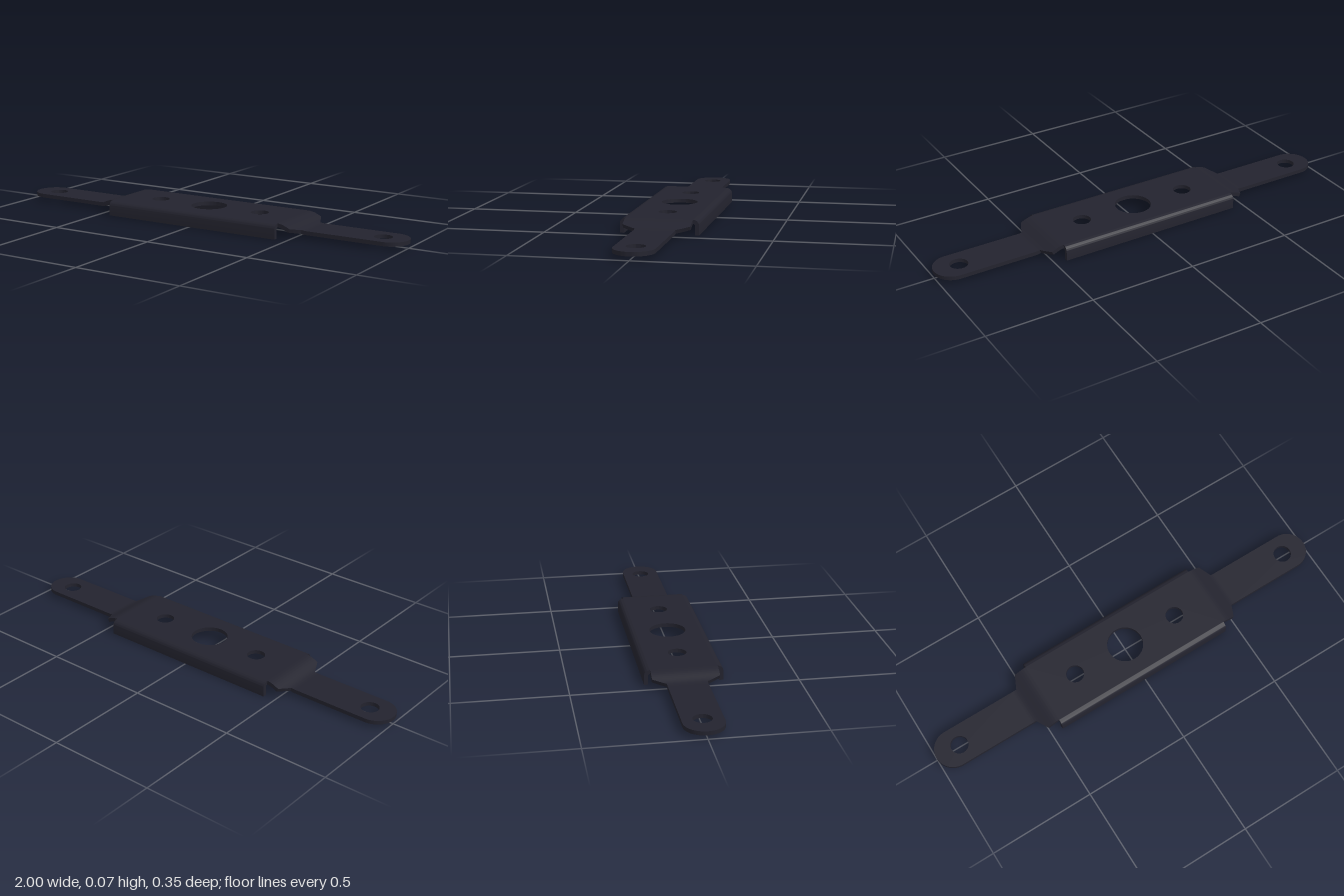
import * as THREE from 'three';
import { toCreasedNormals } from 'three/addons/utils/BufferGeometryUtils.js';

const T = 0.018;        // sheet thickness
const TOP = 0.068;      // top of the raised centre
const ARM_TOP = 0.035;  // top of the lowered arms
const PLATE_X = 0.445, PLATE_Z = 0.148, OUT_Z = 0.174;
const ARM_Z = 0.088, BEND_END = 0.55;

function addHole(shape, x, r) {
  const hole = new THREE.Path();
  hole.absarc(x, 0, r, 0, Math.PI * 2, true);
  shape.holes.push(hole);
}

// Flat sheet part lying in the xz plane
function sheet(shape, top) {
  const g = new THREE.ExtrudeGeometry(shape, { depth: T, bevelEnabled: false, curveSegments: 32 });
  g.rotateX(-Math.PI / 2).translate(0, top - T, 0);
  return toCreasedNormals(g, 0.6);
}

function plateGeometry() {
  const s = new THREE.Shape();
  s.moveTo(-PLATE_X, -PLATE_Z).lineTo(PLATE_X, -PLATE_Z);
  s.lineTo(PLATE_X, PLATE_Z).lineTo(-PLATE_X, PLATE_Z);
  s.closePath();
  addHole(s, 0, 0.083);
  addHole(s, -0.27, 0.041);
  addHole(s, 0.27, 0.041);
  return sheet(s, TOP);
}

function armGeometry() {
  const s = new THREE.Shape();
  s.moveTo(BEND_END, -ARM_Z).lineTo(1 - ARM_Z, -ARM_Z);
  s.absarc(1 - ARM_Z, 0, ARM_Z, -Math.PI / 2, Math.PI / 2, false);
  s.lineTo(BEND_END, ARM_Z).closePath();
  addHole(s, 0.882, 0.041);
  return sheet(s, ARM_TOP);
}

// Side lip: rounded fold profile swept along x
function flangeGeometry() {
  const r = OUT_Z - PLATE_Z;
  const s = new THREE.Shape();
  s.moveTo(OUT_Z, 0).lineTo(OUT_Z, TOP - r);
  s.absarc(PLATE_Z, TOP - r, r, 0, Math.PI / 2, false);
  s.lineTo(PLATE_Z, TOP - T);
  s.absarc(PLATE_Z, TOP - r, r - T, Math.PI / 2, 0, true);
  s.lineTo(OUT_Z - T, 0).closePath();
  const g = new THREE.ExtrudeGeometry(s, { depth: 2 * PLATE_X, bevelEnabled: false, curveSegments: 10 });
  g.translate(0, 0, -PLATE_X).rotateY(-Math.PI / 2);
  return toCreasedNormals(g, 0.6);
}

// S-shaped step, tapering from the shoulder width to the arm width
function bendGeometry() {
  const pos = [], index = [], n = 21;
  for (let i = 0; i <= n; i++) {
    const x = PLATE_X + (BEND_END - PLATE_X) * i / n;
    const t = i / n, drop = TOP - ARM_TOP;
    const y = TOP - T / 2 - drop * t * t * (3 - 2 * t);
    const slope = -drop * 6 * t * (1 - t) / (BEND_END - PLATE_X);
    const len = Math.hypot(1, slope);
    const nx = -slope / len * T / 2, ny = T / 2 / len;
    const k = THREE.MathUtils.clamp((x - 0.5) / 0.03, 0, 1);
    const w = THREE.MathUtils.lerp(PLATE_Z, ARM_Z, k);
    pos.push(x + nx, y + ny, -w, x + nx, y + ny, w, x - nx, y - ny, w, x - nx, y - ny, -w);
    if (i === n) continue;
    for (let j = 0; j < 4; j++) {
      const a = i * 4 + j, b = i * 4 + (j + 1) % 4;
      index.push(a, b, b + 4, a, b + 4, a + 4);
    }
  }
  const g = new THREE.BufferGeometry();
  g.setAttribute('position', new THREE.Float32BufferAttribute(pos, 3));
  g.setIndex(index);
  return toCreasedNormals(g, 0.5);
}

export function createModel() {
  const model = new THREE.Group();
  model.name = 'mountingBracket';
  const metal = new THREE.MeshStandardMaterial({ color: 0x23232e });
  metal.name = 'dark coated metal';

  const add = (name, geometry, turn = 0) => {
    const mesh = new THREE.Mesh(geometry, metal);
    mesh.name = name;
    mesh.rotation.y = turn;
    model.add(mesh);
  };

  add('centrePlate', plateGeometry());
  const arm = armGeometry(), bend = bendGeometry(), flange = flangeGeometry();
  // Each half is the other turned half a circle
  [['left', 'front', 0], ['right', 'back', Math.PI]].forEach(([side, edge, turn]) => {
    add(side + 'Arm', arm, turn);
    add(side + 'Bend', bend, turn);
    add(edge + 'Flange', flange, turn);
  });
  return model;
}
